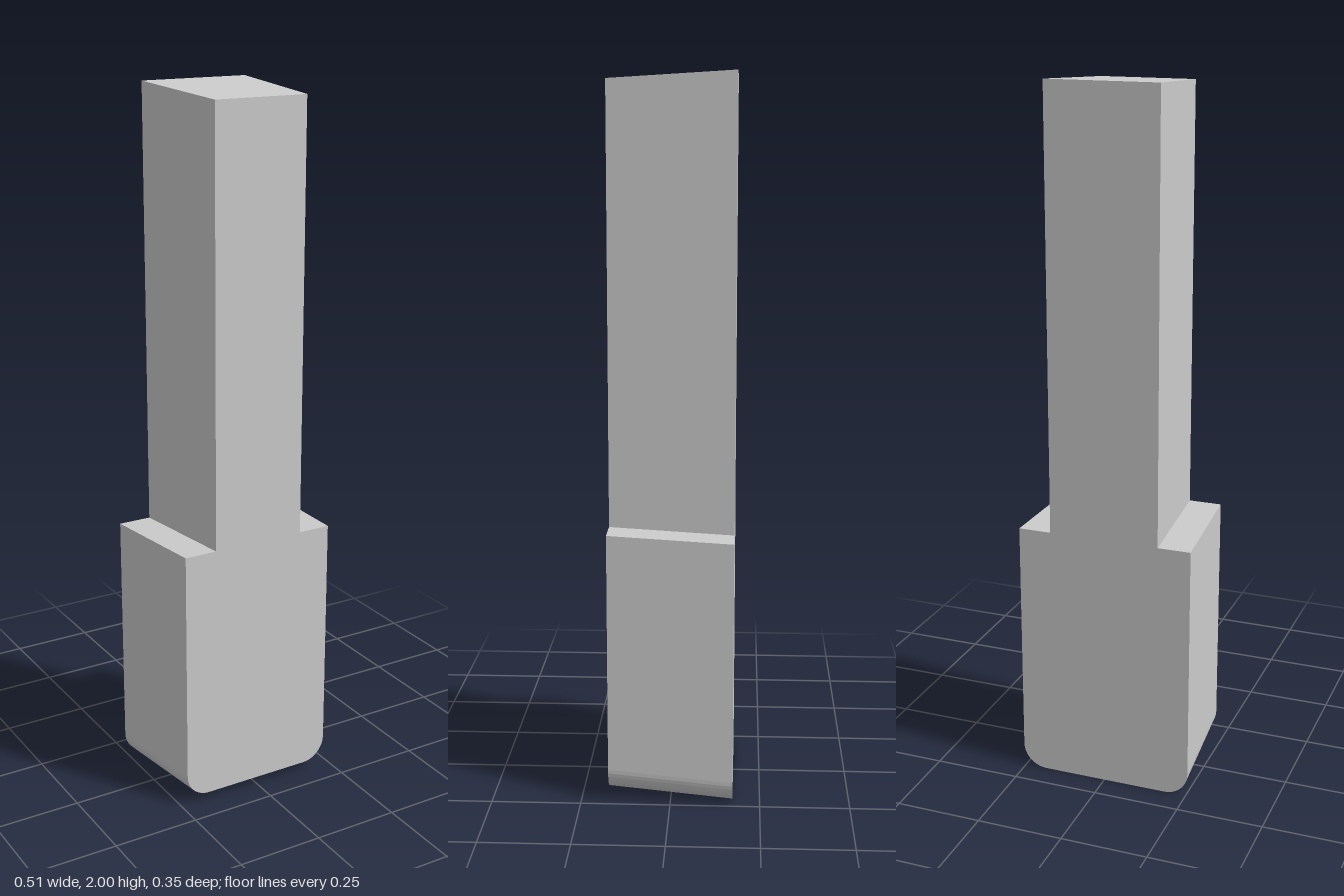
import * as THREE from 'three';

export function createModel() {
  const group = new THREE.Group();
  const stem = 0.16, body = 0.255, shoulder = 0.755, r = 0.07, half = 0.174;

  // Back outline: narrow stem on a wider body with rounded bottom corners
  const s = new THREE.Shape();
  s.moveTo(-body + r, 0);
  s.lineTo(body - r, 0);
  s.absarc(body - r, r, r, -Math.PI / 2, 0, false);
  s.lineTo(body, shoulder);
  s.lineTo(stem, shoulder);
  s.lineTo(stem, 2);
  s.lineTo(-stem, 2);
  s.lineTo(-stem, shoulder);
  s.lineTo(-body, shoulder);
  s.lineTo(-body, r);
  s.absarc(-body + r, r, r, Math.PI, Math.PI * 1.5, false);

  const geo = new THREE.ExtrudeGeometry(s, { depth: 2 * half, bevelEnabled: false, curveSegments: 5 });
  geo.translate(0, 0, -half);

  // Draft: narrow the front face, and slope the top, shoulders and underside
  const p = geo.attributes.position;
  for (let i = 0; i < p.count; i++) {
    if (p.getZ(i) < 0) continue;
    const y = p.getY(i);
    p.setX(i, p.getX(i) - Math.sign(p.getX(i)) * 0.023);
    p.setY(i, y + (y > 1.9 ? -0.02 : y > 0.5 ? 0.014 : 0.023));
  }
  geo.computeVertexNormals();

  const mesh = new THREE.Mesh(geo, new THREE.MeshStandardMaterial({ color: 0xcccccc, flatShading: true }));
  mesh.name = 'taperedKeyBody';
  group.add(mesh);
  return group;
}
